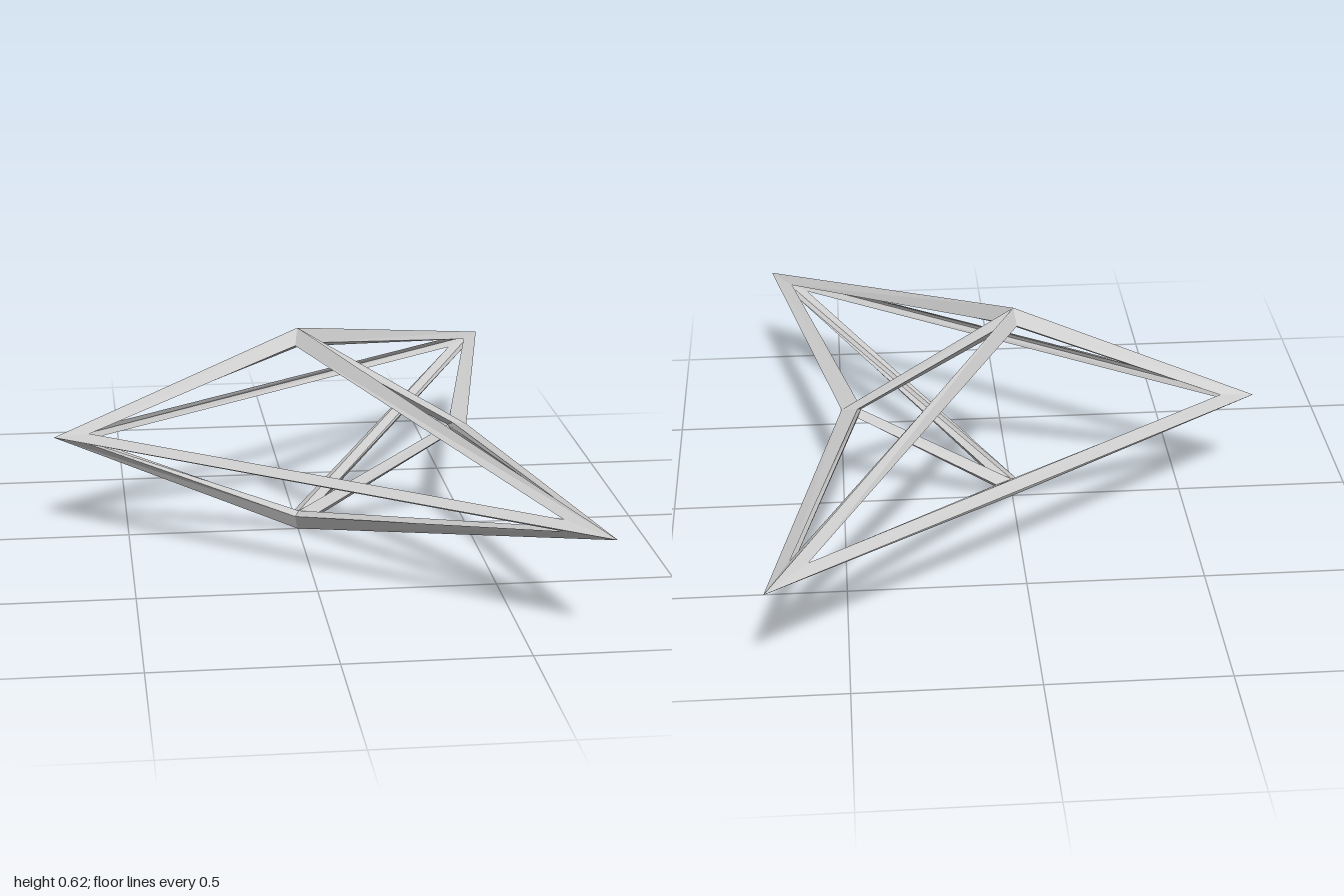
import * as THREE from 'three';

const vec = (x, y, z) => new THREE.Vector3(x, y, z);
const HALF = 0.028; // half thickness of the struts
const MID = 0.3075; // height of the middle ring

// Centre-line corners of the open frame: a stretched octahedron with one corner pushed in
const corners = [
  vec(0, MID + 0.28, 0), // 0 top
  vec(0, MID - 0.28, 0), // 1 bottom
  vec(-0.682, MID, 0), // 2 nose
  vec(0.694, MID, 0.975), // 3 front tip
  vec(0.47, MID, 0), // 4 inner notch
  vec(0.694, MID, -0.975), // 5 back tip
];
const ring = [2, 3, 4, 5];
const faces = ring.flatMap((a, i) => {
  const b = ring[(i + 1) % 4];
  return [[0, a, b], [1, b, a]];
});

const direction = (from, to) => corners[to].clone().sub(corners[from]).normalize();

// Corner normals, weighted by the angle of each adjoining face
function cornerNormals() {
  const normals = corners.map(() => vec(0, 0, 0));
  for (const f of faces) {
    f.forEach((v, i) => {
      const d1 = direction(v, f[(i + 1) % 3]);
      const d2 = direction(v, f[(i + 2) % 3]);
      const n = d1.clone().cross(d2).normalize();
      normals[v].addScaledVector(n, d1.angleTo(d2));
    });
  }
  return normals.map((n) => n.normalize());
}

// One triangular frame: an outer strip around the opening and a wall folding inward
function frameGeometry(face, outer, inner) {
  const hole = face.map((v, i) => {
    const d1 = direction(v, face[(i + 1) % 3]);
    const d2 = direction(v, face[(i + 2) % 3]);
    const miter = HALF / Math.sin(d1.angleTo(d2) / 2);
    return corners[v].clone().addScaledVector(d1.add(d2).normalize(), miter);
  });
  const points = [];
  const quad = (a, b, c, d) => points.push(a, b, c, a, c, d);
  for (let i = 0; i < 3; i++) {
    const j = (i + 1) % 3;
    quad(outer[face[i]], outer[face[j]], hole[j], hole[i]);
    quad(hole[i], hole[j], inner[face[j]], inner[face[i]]);
  }
  const geometry = new THREE.BufferGeometry().setFromPoints(points);
  geometry.computeVertexNormals();
  return geometry;
}

export function createModel() {
  const group = new THREE.Group();
  group.name = 'openFrame';
  const material = new THREE.MeshStandardMaterial({ color: 0xcccccc, flatShading: true });

  const normals = cornerNormals();
  const outer = corners.map((c, i) => c.clone().addScaledVector(normals[i], HALF));
  const inner = corners.map((c, i) => c.clone().addScaledVector(normals[i], -HALF));

  const sides = ['FrontLong', 'FrontShort', 'BackShort', 'BackLong'];
  faces.forEach((face, i) => {
    const mesh = new THREE.Mesh(frameGeometry(face, outer, inner), material);
    mesh.name = (i % 2 ? 'lower' : 'upper') + sides[Math.floor(i / 2)] + 'Frame';
    group.add(mesh);
  });
  return group;
}
